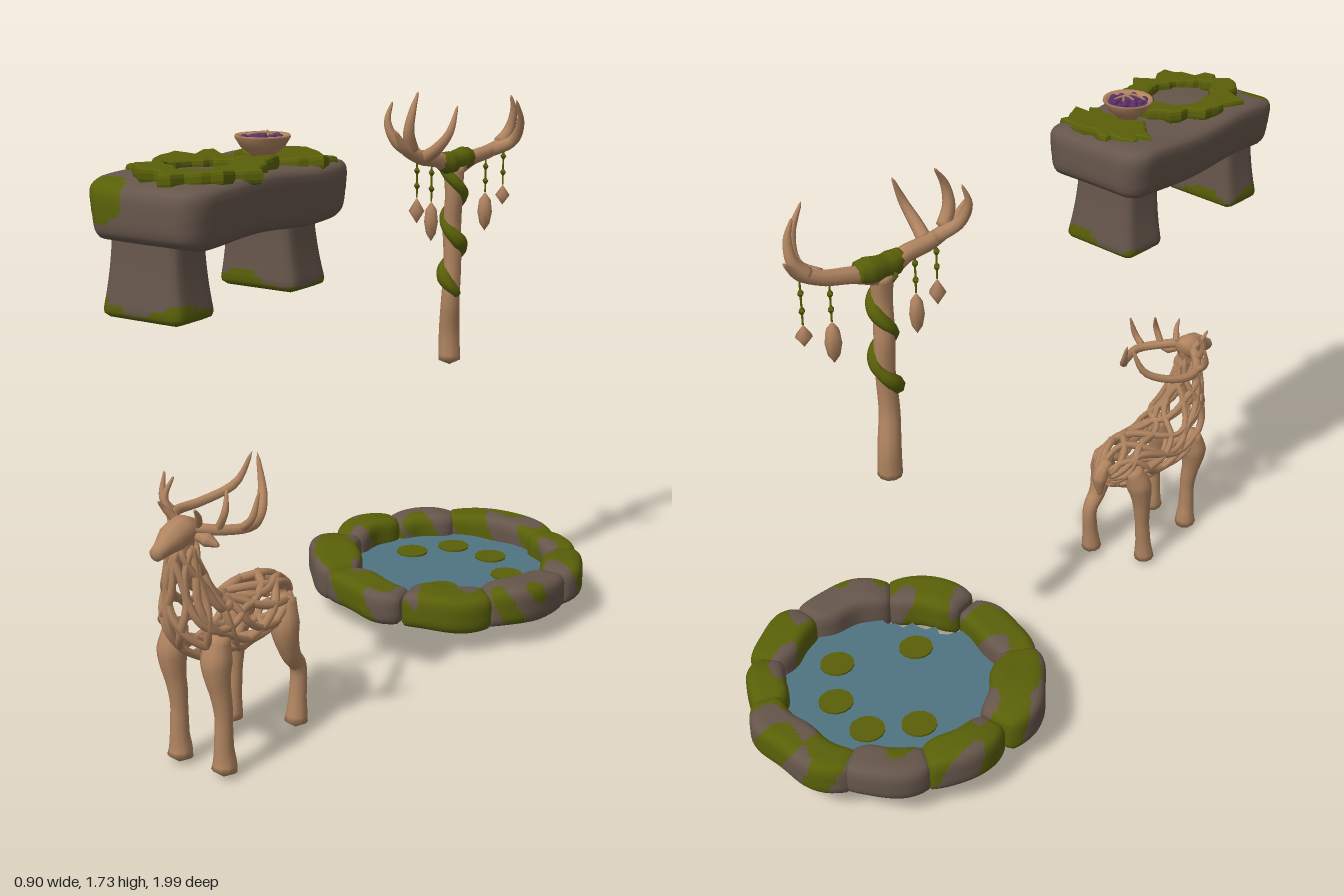
import * as THREE from 'three';
import { mergeVertices } from 'three/addons/utils/BufferGeometryUtils.js';

const V = (a) => new THREE.Vector3(...a);
const mat = (name, color, side = THREE.FrontSide) => {
  const m = new THREE.MeshStandardMaterial({ color, side });
  m.name = name;
  return m;
};

export function createModel() {
  const wood = mat('wood', 0xb08460);
  const stone = mat('stone', 0x66564b);
  const moss = mat('moss', 0x596008);
  const water = mat('water', 0x4f7482, THREE.DoubleSide);
  const berry = mat('berry', 0x5c3068);

  const root = new THREE.Group();
  const section = (name) => {
    const g = new THREE.Group();
    g.name = name;
    root.add(g);
    return g;
  };
  const add = (parent, name, geo, material, pos = [0, 0, 0]) => {
    const m = new THREE.Mesh(geo, material);
    m.name = name;
    m.position.set(...pos);
    parent.add(m);
    return m;
  };
  const smooth = (geo) => {
    geo.deleteAttribute('uv');
    geo.deleteAttribute('normal');
    const g = mergeVertices(geo, 1e-5);
    g.clearGroups();
    g.computeVertexNormals();
    return g;
  };
  const warp = (geo, fn) => {
    const p = geo.attributes.position, v = new THREE.Vector3();
    for (let i = 0; i < p.count; i++) {
      fn(v.fromBufferAttribute(p, i), i);
      p.setXYZ(i, v.x, v.y, v.z);
    }
    return geo;
  };

  // closed tube through points, its radius following a list
  const limb = (pts, radii, segs = 20, sides = 8) => {
    const curve = new THREE.CatmullRomCurve3(pts.map(V));
    const geo = new THREE.TubeGeometry(curve, segs, 1, sides);
    const c = new THREE.Vector3();
    warp(geo, (v, i) => {
      const ring = Math.floor(i / (sides + 1)), u = ring / segs;
      const k = u * (radii.length - 1), j = Math.min(Math.floor(k), radii.length - 2);
      let r = THREE.MathUtils.lerp(radii[j], radii[j + 1], k - j);
      if (ring === 0 || ring === segs) r = 0;
      curve.getPointAt(u, c);
      v.sub(c).multiplyScalar(r).add(c);
    });
    return smooth(geo);
  };

  // finely divided box with rounded edges
  const roundBox = (w, h, d, r, nx, ny, nz) => {
    const q = new THREE.Vector3();
    const lim = V([w / 2 - r, h / 2 - r, d / 2 - r]), neg = lim.clone().negate();
    return warp(new THREE.BoxGeometry(w, h, d, nx, ny, nz), (v) => {
      q.copy(v).clamp(neg, lim);
      v.sub(q).setLength(r).add(q);
    });
  };

  // sort triangles into stone and moss groups by a rule on their centre
  const patch = (geo, isMoss) => {
    const p = geo.attributes.position, sets = [[], []], c = new THREE.Vector3(), t = new THREE.Vector3();
    for (let i = 0; i < geo.index.count; i += 3) {
      const f = [0, 1, 2].map((k) => geo.index.getX(i + k));
      c.set(0, 0, 0);
      f.forEach((k) => c.add(t.fromBufferAttribute(p, k)));
      sets[isMoss(c.divideScalar(3)) ? 1 : 0].push(...f);
    }
    geo.setIndex(sets.flat());
    geo.addGroup(0, sets[0].length, 0);
    geo.addGroup(sets[0].length, sets[1].length, 1);
    return geo;
  };

  // ---- Pool: a ring of bent stones, water and lily pads ----
  const pool = section('pool');
  pool.position.set(0, 0, -0.545);
  // start angle, end angle, middle radius, depth, height, moss amount
  const stones = [
    [60, 121, 0.385, 0.13, 0.115, 0.1], [117, 153, 0.375, 0.13, 0.11, -0.5], [151, 189, 0.38, 0.13, 0.12, 0.2],
    [190, 238, 0.385, 0.17, 0.125, 0.2], [234, 279, 0.385, 0.14, 0.11, 0], [280, 319, 0.39, 0.15, 0.12, 0.5],
    [317, 361, 0.385, 0.14, 0.125, -0.8], [0, 36, 0.385, 0.14, 0.12, 0.2], [34, 64, 0.375, 0.12, 0.11, 0.1]];
  for (const [a0, a1, rad, depth, h, amount] of stones) {
    const geo = warp(roundBox(1, h, depth, 0.035, 24, 8, 9), (v) => {
      const s = v.x * 2, a = THREE.MathUtils.degToRad(a0 + (v.x + 0.5) * (a1 - a0));
      const end = 1 - 0.35 * s ** 4;
      const R = rad + v.z * end + 0.006 * Math.sin(a * 11);
      v.set(R * Math.cos(a), 0.076 + (v.y + h / 2) * (1 - 0.12 * s ** 4) + 0.004 * Math.sin(a * 9), -R * Math.sin(a));
    });
    patch(smooth(geo), (c) => Math.sin(19 * c.x + 2 + 9 * c.y) * Math.sin(17 * c.z + 1)
      + 0.6 * Math.sin(31 * c.x - 23 * c.z + 22 * c.y) + amount > -0.15);
    add(pool, 'rimStone', geo.index.count ? patchCopy(geo) : geo, [stone, moss]);
  }
  function patchCopy(geo) {
    const g = smooth(geo);
    const amount = stones[pool.children.length][5];
    return patch(g, (c) => Math.sin(19 * c.x + 2 + 9 * c.y) * Math.sin(17 * c.z + 1)
      + 0.6 * Math.sin(31 * c.x - 23 * c.z + 22 * c.y) + amount > -0.15);
  }
  const disc = new THREE.Shape();
  for (let i = 0; i < 72; i++) {
    const r = i > 55 && i < 65 ? 0.29 + 0.015 * Math.sin(i * 2.3) : 0.335, a = (i / 72) * Math.PI * 2;
    disc[i ? 'lineTo' : 'moveTo'](r * Math.cos(a), r * Math.sin(a));
  }
  add(pool, 'water', new THREE.ShapeGeometry(disc).rotateX(-Math.PI / 2), water, [0, 0.115, 0]);
  for (const [x, z] of [[-0.085, -0.18], [-0.18, -0.06], [0.07, -0.165], [0.195, -0.05], [0.075, 0.17]])
    add(pool, 'lilyPad', new THREE.CylinderGeometry(0.053, 0.053, 0.006, 14), moss, [x, 0.12, z]);

  // ---- Bench: slab, two flared legs, moss mats and a bowl ----
  const bench = section('bench');
  const slab = smooth(warp(roundBox(0.375, 0.155, 0.68, 0.035, 18, 8, 30), (v) => {
    const e = Math.max(0, Math.abs(v.z) - 0.27) / 0.07;
    v.x *= (1 - 0.17 * e * e) * (1 - 0.09 * (0.5 - v.y / 0.155));
    v.y += 0.006 * Math.sin(14 * v.z + 5 * v.x) - (v.y < 0 ? -0.012 * e : 0.008 * e);
    v.x += 0.012;
    v.y += 1.535;
    v.z += 0.655;
  }));
  add(bench, 'slab', patch(slab, (c) => c.distanceTo(V([-0.1, 1.565, 0.97])) < 0.065), [stone, moss]);
  for (const [z, d, dir] of [[0.895, 0.145, 1], [0.435, 0.155, -1]]) {
    const leg = smooth(warp(roundBox(0.22, 0.24, d, 0.025, 10, 14, 8), (v) => {
      const t = 0.5 - v.y / 0.24;
      v.x = v.x * (0.95 + 0.25 * t * t) - 0.005;
      v.z = z + v.z * (0.9 + 0.2 * t * t) + dir * 0.01 * t;
      v.y += 1.387;
    }));
    add(bench, 'leg', patch(leg, (c) => c.y < 1.3 + 0.02 * Math.sin(25 * c.x + 18 * c.z)), [stone, moss]);
  }
  const blob = (rx, rz, hx, hz, seed) => {
    const ring = (path, ax, az, amp) => {
      for (let i = 0; i < 44; i++) {
        const a = (i / 44) * Math.PI * 2;
        const k = 1 + amp * (Math.sin(9 * a + seed) + 0.8 * Math.sin(14 * a + 2 * seed));
        path[i ? 'lineTo' : 'moveTo'](ax * k * Math.cos(a), az * k * Math.sin(a));
      }
      return path;
    };
    const shape = ring(new THREE.Shape(), rx, rz, 0.09);
    if (hx) shape.holes.push(ring(new THREE.Path(), hx, hz, 0.05));
    const geo = new THREE.ExtrudeGeometry(shape, { depth: 0.014, bevelSize: 0.008, bevelThickness: 0.012, bevelSegments: 2 });
    return warp(geo.rotateX(-Math.PI / 2), (v) => { v.y += 0.008 * Math.sin(25 * v.x + 17 * v.z + seed); });
  };
  add(bench, 'mossWreath', blob(0.155, 0.175, 0.085, 0.12, 1), moss, [0.03, 1.615, 0.76]);
  add(bench, 'mossMat', blob(0.13, 0.075, 0, 0, 3), moss, [0.045, 1.604, 0.435]);
  const bowl = new THREE.Group();
  bowl.name = 'bowl';
  bowl.position.set(0.035, 1.622, 0.515);
  bench.add(bowl);
  const profile = [[0, 0], [0.03, 0], [0.034, 0.012], [0.058, 0.03], [0.074, 0.056], [0.072, 0.062], [0.062, 0.056], [0.045, 0.035], [0, 0.03]];
  add(bowl, 'bowlShell', new THREE.LatheGeometry(profile.map((p) => new THREE.Vector2(...p)), 24), wood);
  add(bowl, 'bowlFilling', new THREE.CylinderGeometry(0.06, 0.05, 0.01, 20), berry, [0, 0.047, 0]);
  for (let i = 0; i < 15; i++) {
    const r = 0.052 * Math.sqrt(i / 15), a = i * 2.4;
    add(bowl, 'berry', new THREE.SphereGeometry(0.011, 8, 6), berry, [r * Math.cos(a), 0.054, r * Math.sin(a)]);
  }
  for (let i = 0; i < 3; i++)
    add(bowl, 'twig', limb([[-0.045 + i * 0.02, 0.056, 0.035 - i * 0.03], [0, 0.068, 0.02 - i * 0.02], [0.03, 0.06, -0.035 + i * 0.025]], [0.004, 0.003], 10, 5), wood);

  // ---- Antlered post with a moss vine and hanging charms ----
  const post = section('antlerPost');
  const trunk = [[0.022, 0.845, -0.492], [0.02, 0.95, -0.492], [0.032, 1.06, -0.475], [0.035, 1.18, -0.48], [0.03, 1.3, -0.482], [0.04, 1.4, -0.474], [0.035, 1.5, -0.478]];
  add(post, 'trunk', limb(trunk, [0.036, 0.034, 0.03, 0.028, 0.03, 0.028, 0.034], 40, 10), wood);
  const branches = [
    [[0.035, 1.48, -0.47], [0.025, 1.515, -0.4], [0.01, 1.53, -0.32], [0, 1.56, -0.25], [-0.01, 1.625, -0.2]],
    [[0.01, 1.535, -0.31], [-0.04, 1.58, -0.26], [-0.065, 1.64, -0.25], [-0.06, 1.7, -0.27]],
    [[0.005, 1.55, -0.28], [0.01, 1.61, -0.25], [0.018, 1.67, -0.255], [0.015, 1.73, -0.295]],
    [[0.015, 1.525, -0.33], [0.07, 1.56, -0.315], [0.11, 1.61, -0.32], [0.12, 1.69, -0.35]],
    [[0.035, 1.48, -0.48], [0.05, 1.505, -0.56], [0.07, 1.52, -0.64], [0.085, 1.55, -0.71], [0.08, 1.605, -0.765]],
    [[0.07, 1.52, -0.64], [0.13, 1.55, -0.68], [0.17, 1.61, -0.66], [0.18, 1.69, -0.61]],
    [[0.08, 1.535, -0.68], [0.1, 1.58, -0.715], [0.115, 1.64, -0.715], [0.115, 1.695, -0.695]]];
  branches.forEach((b, i) => add(post, 'antlerBranch', limb(b, i % 4 ? [0.022, 0.018, 0.012, 0.003] : [0.03, 0.025, 0.023, 0.017, 0.003], 20), wood));
  const trunkCurve = new THREE.CatmullRomCurve3(trunk.map(V));
  const vine = [];
  for (let i = 0; i <= 36; i++) {
    const c = trunkCurve.getPointAt(0.36 + (0.62 * i) / 36), a = i * 0.42;
    vine.push([c.x + 0.026 * Math.cos(a), c.y, c.z + 0.026 * Math.sin(a)]);
  }
  add(post, 'mossVine', limb(vine, [0.012, 0.026, 0.018, 0.026, 0.014, 0.022, 0.018, 0.02], 80), moss);
  add(post, 'mossSleeve', limb([[0.027, 1.52, -0.4], [0.035, 1.5, -0.45], [0.037, 1.505, -0.5], [0.048, 1.51, -0.56]], [0.02, 0.036, 0.034, 0.038, 0.028], 20), moss);
  // x, z, top of string, top of pendant, bottom of pendant, pendant radius
  for (const [x, z, y0, y1, y2, r] of [[0.01, -0.3, 1.53, 1.41, 1.33, 0.025], [0.02, -0.37, 1.52, 1.39, 1.265, 0.022],
    [0.065, -0.63, 1.51, 1.39, 1.265, 0.024], [0.085, -0.71, 1.54, 1.405, 1.34, 0.024]]) {
    add(post, 'charmString', new THREE.CylinderGeometry(0.003, 0.003, y0 - y1, 5), moss, [x, (y0 + y1) / 2, z]);
    for (const k of [0.35, 0.8])
      add(post, 'charmLeaf', new THREE.OctahedronGeometry(0.011).scale(1, 1.4, 1), moss, [x, y1 + (y0 - y1) * k * 0.85, z]);
    const h = y1 - y2, long = h > 0.1;
    const shape = long ? [[0, 0], [r * 0.7, h * 0.2], [r, h * 0.5], [r * 0.8, h * 0.8], [0, h]] : [[0, 0], [r, h * 0.5], [0, h]];
    add(post, 'charmPendant', new THREE.LatheGeometry(shape.map((p) => new THREE.Vector2(...p)), 7), wood, [x, y2, z]);
  }

  // ---- Woven stag ----
  const stag = section('wovenStag');
  stag.position.x = 0.022;
  const spine = new THREE.CatmullRomCurve3([[0, 0.67, 0.875], [0, 0.6, 0.875], [0, 0.53, 0.862], [0, 0.45, 0.835],
    [0, 0.395, 0.76], [0, 0.385, 0.67], [0, 0.39, 0.58], [0, 0.39, 0.51], [0, 0.375, 0.445]].map(V));
  const halfW = [0.034, 0.042, 0.06, 0.09, 0.098, 0.092, 0.09, 0.08, 0.03];
  const halfH = [0.036, 0.046, 0.062, 0.085, 0.088, 0.072, 0.076, 0.075, 0.03];
  const sample = (list, u) => {
    const k = u * 8, j = Math.min(Math.floor(k), 7);
    return THREE.MathUtils.lerp(list[j], list[j + 1], k - j);
  };
  const skin = (u, a) => {
    const c = spine.getPoint(u), t = spine.getTangent(u), h = sample(halfH, u) * Math.sin(a);
    return [sample(halfW, u) * Math.cos(a), c.y + t.z * h, c.z - t.y * h];
  };
  for (let i = 0; i < 18; i++) {
    const turn = i < 7 ? 4.2 : i < 14 ? -4.2 : 0.5, pts = [];
    for (let k = 0; k <= 20; k++)
      pts.push(skin(k / 20, i * (Math.PI * 2 / 7) + (i > 13 ? i * 0.68 : 0) + (turn * k) / 20 + 0.2 * Math.sin(k * 0.8 + i)));
    add(stag, 'wovenBranch', limb(pts, [0.009, 0.012, 0.01, 0.013, 0.009], 44, 6), wood);
  }
  add(stag, 'head', limb([[0, 0.69, 0.835], [0, 0.7, 0.87], [0, 0.688, 0.92], [0, 0.672, 0.96], [0, 0.665, 0.99]], [0.03, 0.042, 0.04, 0.026, 0.017], 20, 10), wood);
  add(stag, 'throat', limb([[0, 0.7, 0.87], [0, 0.65, 0.88], [0, 0.59, 0.875]], [0.036, 0.034, 0.012]), wood);
  add(stag, 'tail', limb([[0, 0.43, 0.475], [0, 0.4, 0.435], [0, 0.31, 0.43]], [0.02, 0.026, 0.006]), wood);
  for (const s of [-1, 1]) {
    const foot = s < 0 ? -0.062 : 0.09, rear = s < 0 ? 0.08 : 0;
    add(stag, 'frontLeg', limb([[s * 0.07, 0.42, 0.82], [s * 0.075, 0.32, 0.84], [foot, 0.2, 0.835], [foot, 0.09, 0.835], [foot, 0.04, 0.833], [foot, 0.005, 0.84]],
      [0.03, 0.044, 0.03, 0.024, 0.027, 0.038], 24, 10), wood);
    add(stag, 'hindLeg', limb([[s * 0.06, 0.42, 0.51], [s * 0.08, 0.33, 0.54], [s * 0.085, 0.24, 0.52 + rear * 0.4], [s * 0.085, 0.19, 0.485 + rear * 0.9],
      [s * 0.085, 0.08, 0.49 + rear], [s * 0.085, 0.005, 0.5 + rear]], [0.03, 0.044, 0.03, 0.024, 0.026, 0.036], 24, 10), wood);
    add(stag, 'ear', limb([[s * 0.03, 0.69, 0.86], [s * 0.06, 0.68, 0.85], [s * 0.1, 0.668, 0.845]], [0.012, 0.02, 0.004], 12), wood);
    const antler = [
      [[s * 0.02, 0.71, 0.865], [s * 0.075, 0.7, 0.82], [s * 0.12, 0.695, 0.75], [s * 0.1, 0.7, 0.67], [s * 0.045, 0.74, 0.585], [s * 0.008, 0.83, 0.556]],
      [[s * 0.115, 0.697, 0.77], [s * 0.148, 0.73, 0.77], [s * 0.158, 0.8, 0.75]],
      [[s * 0.075, 0.7, 0.82], [s * 0.1, 0.755, 0.82], [s * 0.088, 0.81, 0.795]],
      [[s * 0.035, 0.71, 0.85], [s * 0.055, 0.75, 0.875], [s * 0.06, 0.775, 0.895]]];
    antler.forEach((p, i) => add(stag, 'antler', limb(p, i ? [0.012, 0.01, 0.003] : [0.016, 0.015, 0.014, 0.013, 0.004]), wood));
  }
  return root;
}
